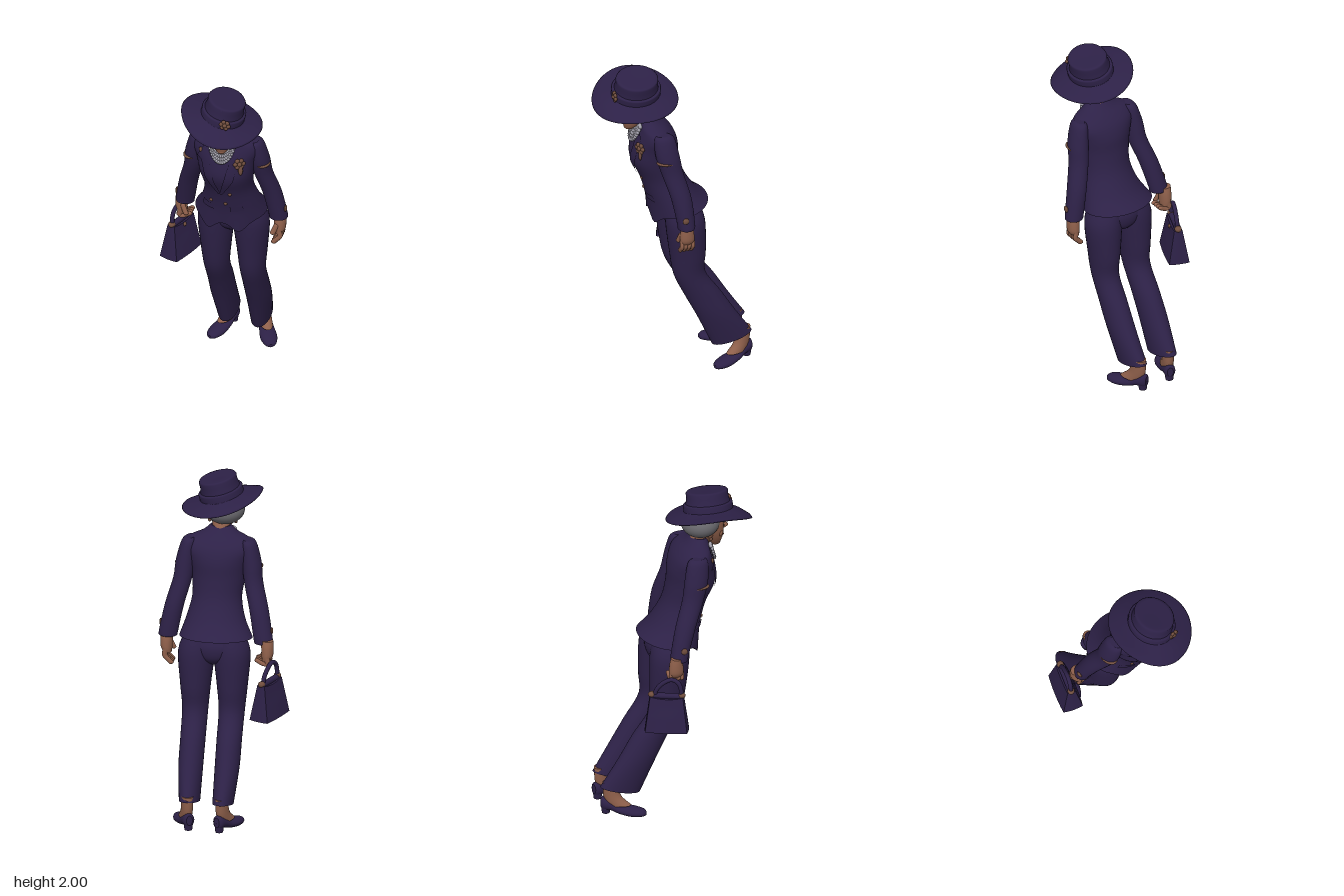
import * as THREE from 'three';

const mat = (name, color) => { const m = new THREE.MeshStandardMaterial({ color }); m.name = name; return m; };
const M = {
  purple: mat('deep purple cloth', 0x2d2147), skin: mat('skin', 0x8f604b), hair: mat('grey hair', 0x6a696e),
  pearl: mat('pearl', 0xa09ea9), gold: mat('bronze trim', 0x704e3e), dark: mat('dark eye', 0x2a1d1c), lip: mat('lip', 0x70443a),
};

const add = (parent, name, geo, m, pos = [0, 0, 0], scale = [1, 1, 1]) => {
  const mesh = new THREE.Mesh(geo, m);
  mesh.name = name;
  mesh.position.set(...pos);
  mesh.scale.set(...scale);
  parent.add(mesh);
  return mesh;
};
const ball = (parent, name, m, pos, size, seg = 16) => add(parent, name, new THREE.SphereGeometry(1, seg, Math.ceil(seg * 0.7)), m, pos, size);

// Smoothly fills in between sections [cx, y, cz, rx, rz, slope], listed from the top down
function dense(secs, sub = 5) {
  const out = [], n = secs.length - 1;
  const cr = (a, b, c, d, t) => b + 0.5 * t * (c - a + t * (2 * a - 5 * b + 4 * c - d + t * (3 * (b - c) + d - a)));
  for (let i = 0; i < n; i++) for (let k = 0; k < sub; k++) {
    const [a, b, c, d] = [i - 1, i, i + 1, i + 2].map(j => secs[Math.min(n, Math.max(0, j))]);
    out.push([0, 1, 2, 3, 4, 5].map(q => cr(a[q] || 0, b[q] || 0, c[q] || 0, d[q] || 0, k / sub)));
  }
  out.push([0, 1, 2, 3, 4, 5].map(q => secs[n][q] || 0));
  return out;
}

// Skin of elliptical rings with capped ends
function loft(secs, seg = 32, warp) {
  const rows = dense(secs), p = [], idx = [];
  const ring = s => {
    for (let j = 0; j < seg; j++) {
      const a = j / seg * Math.PI * 2, dz = s[4] * Math.cos(a);
      const v = new THREE.Vector3(s[0] + s[3] * Math.sin(a), s[1] + s[5] * dz, s[2] + dz);
      if (warp) warp(v);
      p.push(v.x, v.y, v.z);
    }
  };
  rows.forEach(ring);
  for (let i = 0; i < rows.length - 1; i++) for (let j = 0; j < seg; j++) {
    const a = i * seg + j, b = i * seg + (j + 1) % seg;
    idx.push(a, a + seg, b + seg, a, b + seg, b);
  }
  for (const [s, top] of [[rows[0], true], [rows[rows.length - 1], false]]) {
    const base = p.length / 3;
    ring(s);
    p.push(s[0], s[1], s[2]);
    for (let j = 0; j < seg; j++) {
      const a = base + j, b = base + (j + 1) % seg;
      idx.push(base + seg, top ? a : b, top ? b : a);
    }
  }
  const g = new THREE.BufferGeometry();
  g.setAttribute('position', new THREE.Float32BufferAttribute(p, 3));
  g.setIndex(idx);
  g.computeVertexNormals();
  return g;
}

// Depth of the front of a loft at x, y
function frontZ(secs, x, y) {
  const rows = dense(secs);
  let i = rows.findIndex(r => r[1] <= y);
  if (i < 1) i = i < 0 ? rows.length - 1 : 1;
  const t = (y - rows[i - 1][1]) / (rows[i][1] - rows[i - 1][1]);
  const s = rows[i].map((v, q) => rows[i - 1][q] + (v - rows[i - 1][q]) * t);
  return s[2] + s[4] * Math.sqrt(Math.max(0, 1 - ((x - s[0]) / s[3]) ** 2));
}

// Thin plate lying on the front of a loft; rows [y, x0, x1] from the top down
function plate(secs, rows, off = 0.006, sub = 4) {
  const p = [], idx = [], w = sub + 1, n = (rows.length - 1) * sub;
  for (let i = 0; i <= n; i++) {
    const k = Math.min(rows.length - 2, Math.floor(i / sub)), t = i / sub - k;
    const [y, a, b] = rows[k].map((v, q) => v + (rows[k + 1][q] - v) * t);
    for (let j = 0; j <= sub; j++) {
      const x = a + (b - a) * j / sub;
      p.push(x, y, frontZ(secs, x, y) + off);
    }
  }
  for (let i = 0; i < n; i++) for (let j = 0; j < sub; j++) {
    const a = i * w + j;
    idx.push(a, a + w, a + w + 1, a, a + w + 1, a + 1);
  }
  const g = new THREE.BufferGeometry();
  g.setAttribute('position', new THREE.Float32BufferAttribute(p, 3));
  g.setIndex(idx);
  g.computeVertexNormals();
  return g;
}

const JACKET = [[.05, 1.705, .165, .06, .045], [.05, 1.67, .147, .105, .068], [.052, 1.637, .127, .18, .09], [.052, 1.59, .115, .2, .115],
  [.052, 1.52, .112, .178, .135], [.052, 1.42, .11, .16, .142], [.057, 1.3, .07, .145, .13], [.058, 1.18, .018, .172, .147], [.048, 1.085, -.032, .214, .176, -.12]];
const HEAD = [[.045, 1.87, .19, .07, .09], [.045, 1.82, .2, .083, .105], [.045, 1.76, .215, .08, .095],
  [.05, 1.71, .235, .068, .075], [.055, 1.665, .25, .048, .05], [.058, 1.635, .265, .024, .024]];

function flower(parent, name, pos, r) {
  const f = new THREE.Group();
  f.name = name;
  f.position.set(...pos);
  for (let i = 0; i < 6; i++) {
    const a = i / 6 * Math.PI * 2;
    ball(f, 'petal', M.gold, [Math.cos(a) * r, Math.sin(a) * r, 0], [r * .6, r * .6, .01], 8);
  }
  ball(f, 'flowerCentre', M.gold, [0, 0, .006], [r * .6, r * .6, .012], 8);
  parent.add(f);
  return f;
}

function buildHand(parent, name, s, pos, curl) {
  const h = new THREE.Group();
  h.name = name;
  h.position.set(...pos);
  h.scale.x = 1.35;
  add(h, 'palm', loft([[0, .05, 0, .026, .03], [0, .01, 0, .027, .04], [0, -.04, 0, .025, .044], [-s * .005, -.07, 0, .018, .038]], 16), M.skin);
  for (let i = 0; i < 4; i++) {
    const z = .033 - i * .022;
    const c = new THREE.CatmullRomCurve3([[0, -.045], [s * .004, -.085], [-s * .012, -.11 + curl * .02], [-s * (.022 + curl * .015), -.125 + curl * .05]]
      .map(([x, y]) => new THREE.Vector3(x, y, z)));
    add(h, 'finger', new THREE.TubeGeometry(c, 8, .0125, 8), M.skin);
    ball(h, 'fingertip', M.skin, c.getPoint(1).toArray(), [.0125, .0125, .0125], 8);
  }
  const thumb = add(h, 'thumb', new THREE.CapsuleGeometry(.012, .05, 4, 8), M.skin, [-s * .018, -.035, .04]);
  thumb.rotation.set(-.2, 0, -s * .3);
  parent.add(h);
}

export function createModel() {
  const root = new THREE.Group();
  root.name = 'ladyInSuit';

  // Jacket with pointed front hem, lapels, pocket flaps, buttons
  add(root, 'jacket', loft(JACKET, 64, v => {
    if (v.y < 1.13 && v.z > .03) v.y -= .055 * Math.exp(-(((Math.abs(v.x - .035) - .095) / .05) ** 2)) * (1.13 - v.y) / .06;
  }), M.purple);
  for (const s of [-1, 1]) {
    const row = ([y, a, b]) => s > 0 ? [y, .035 + a, .035 + b] : [y, .035 - b, .035 - a];
    add(root, 'lapel', plate(JACKET, [[1.665, .045, .07], [1.6, .065, .115], [1.545, .06, .14], [1.53, .058, .11], [1.42, .03, .085], [1.3, -.005, .012]].map(row), .008), M.purple);
    add(root, 'pocketFlap', plate(JACKET, [[1.2, .05, .12], [1.16, .05, .13]].map(row), .007), M.purple);
  }
  for (const [x, y] of [[-.03, 1.22], [.09, 1.3], [.06, 1.22]]) ball(root, 'jacketButton', M.gold, [x, y, frontZ(JACKET, x, y)], [.011, .011, .008], 10);
  const bz = frontZ(JACKET, .155, 1.53) + .006;
  flower(root, 'brooch', [.155, 1.54, bz], .024).rotation.y = .5;
  ball(root, 'broochDrop', M.gold, [.162, 1.495, bz], [.014, .032, .01], 10);
  ball(root, 'lapelPin', M.gold, [-.08, 1.595, frontZ(JACKET, -.08, 1.595) + .006], [.012, .016, .008], 10);

  // Arms, cuffs, hands
  for (const s of [-1, 1]) {
    const X = d => .05 + s * d, z = s > 0 ? .0 : -.045;
    add(root, 'sleeve', loft([[X(.17), 1.645, .105, .025, .04], [X(.177), 1.618, .1, .044, .062], [X(.195), 1.51, .085, .056, .07], [X(.209), 1.4, .06, .055, .064],
      [X(.25), 1.25, .02 + z * .4, .056, .06], [X(.282), 1.09, z, .056, .052], [X(.284), 1.065, z, .054, .05]], 28), M.purple);
    ball(root, 'sleeveTrim', M.gold, [X(.215), 1.485, .097], [.044, .012, .061], 20);
    ball(root, 'cuffButton', M.gold, [X(.33), 1.135, z + .015], [.009, .02, .02], 10);
  }
  buildHand(root, 'leftHand', 1, [.343, 1.03, -.003], 0);
  buildHand(root, 'rightHand', -1, [-.262, 1.04, -.075], 1.2);

  // Trousers, feet and heeled shoes
  add(root, 'trouserSeat', loft([[.05, 1.11, -.035, .15, .1], [.05, 1.05, -.045, .17, .114], [.05, .99, -.047, .14, .108], [.052, .95, -.05, .07, .08], [.053, .925, -.05, .02, .04]], 40), M.purple);
  for (const s of [-1, 1]) {
    const X = d => .055 + s * d, o = s > 0 ? .018 : 0;
    add(root, 'trouserLeg', loft([[X(.08), 1.11, -.035, .085, .1], [X(.103), 1, -.047, .108, .117], [X(.108), .8, -.06, .09, .108], [X(.108), .65, -.078 + o * .4, .076, .094],
      [X(.108), .5, -.168 + o, .073, .107], [X(.108), .35, -.25 + o, .071, .116], [X(.1), .165, -.348 + o, .06, .12, -.24]], 32), M.purple);
    const foot = new THREE.Group();
    foot.name = s > 0 ? 'leftFoot' : 'rightFoot';
    foot.position.set(X(.093), 0, -.43 + o * .5);
    foot.rotation.y = s * .4;
    add(foot, 'ankle', loft([[0, .22, .02, .035, .042], [0, .13, .035, .034, .052], [0, .075, .075, .036, .07]], 20), M.skin);
    // rings run from toe to heel, then the shoe is laid flat
    const shoe = loft([[0, .235, -.024, .01, .01], [0, .215, -.028, .035, .021], [0, .155, -.034, .05, .029], [0, .08, -.048, .044, .028],
      [0, .03, -.072, .037, .034], [0, -.015, -.083, .033, .042], [0, -.032, -.085, .018, .03]], 24);
    add(foot, 'shoe', shoe.rotateX(Math.PI / 2), M.purple);
    add(foot, 'shoeHeel', new THREE.CylinderGeometry(.03, .023, .06, 16), M.purple, [0, .05, -.003]);
    root.add(foot);
  }

  // Neck, head and face
  add(root, 'neck', loft([[.05, 1.76, .195, .05, .055], [.05, 1.69, .165, .052, .056], [.05, 1.6, .14, .055, .05]], 24), M.skin);
  add(root, 'head', loft(HEAD, 40), M.skin);
  add(root, 'nose', loft([[.05, 1.8, .29, .009, .012], [.051, 1.77, .305, .012, .02], [.052, 1.748, .317, .018, .026], [.053, 1.733, .306, .012, .014]], 16), M.skin);
  ball(root, 'hair', M.hair, [.028, 1.805, .164], [.118, .088, .114], 32);
  for (const s of [-1, 1]) {
    const ex = .05 + s * .035, X = d => .047 + s * d;
    ball(root, 'eye', M.dark, [ex, 1.768, frontZ(HEAD, ex, 1.768)], [.013, .005, .004], 12);
    const brow = ball(root, 'eyebrow', M.hair, [ex, 1.786, frontZ(HEAD, ex, 1.786) + .002], [.02, .004, .005], 12);
    brow.rotation.z = s * .35;
    ball(root, 'cheek', M.skin, [ex + s * .008, 1.728, .275], [.025, .024, .02], 12);
    ball(root, 'ear', M.skin, [X(.076), 1.75, .205], [.014, .032, .022], 12);
    ball(root, 'earring', M.gold, [X(.077), 1.712, .21], [.011, .013, .011], 10);
  }
  ball(root, 'lips', M.lip, [.055, 1.695, frontZ(HEAD, .055, 1.695)], [.024, .006, .007], 12);
  ball(root, 'chin', M.skin, [.057, 1.65, .275], [.026, .02, .022], 12);

  // Pearl necklace in close strands
  const bead = new THREE.SphereGeometry(.0115, 8, 6);
  for (let k = 0; k < 5; k++) for (let i = 0; i <= 18; i++) {
    const t = -1.45 + i / 18 * 2.9, x = .048 + (.06 + k * .0035) * Math.sin(t), y = 1.678 - (.05 + k * .0195) * Math.cos(t);
    add(root, 'necklacePearl', bead, M.pearl, [x, y, frontZ(JACKET, x, y) + .012]);
  }

  // Tilted hat with drooping brim
  const hat = new THREE.Group();
  hat.name = 'hat';
  hat.position.set(.05, 1.846, .222);
  hat.rotation.z = -.24;
  const profile = [[0, .005], [.12, .005], [.19, 0], [.236, -.005], [.243, .002], [.236, .008], [.19, .012], [.14, .017], [.13, .022], [.13, .022], [.131, .055], [.127, .06],
    [.116, .063], [.116, .063], [.11, .1], [.112, .125], [.106, .134], [.09, .136], [0, .132]].map(q => new THREE.Vector2(...q));
  const hatGeo = new THREE.LatheGeometry(profile, 64), hp = hatGeo.attributes.position;
  for (let i = 0; i < hp.count; i++) {
    const x = hp.getX(i), z = hp.getZ(i), r = Math.hypot(x, z);
    if (r > .135) hp.setY(i, hp.getY(i) - (z > 0 ? .055 : .025) * (z / .24) ** 2 * (r - .135) / .105);
    hp.setZ(i, z * (r > .135 ? 1.04 : 1.12));
  }
  hatGeo.computeVertexNormals();
  add(hat, 'hatBody', hatGeo, M.purple);
  flower(hat, 'hatFlower', [.04, .05, .142], .022);
  root.add(hat);

  // Handbag with tapered, softly rounded body, arched handle and metal fittings
  const bag = new THREE.Group();
  bag.name = 'handbag';
  bag.position.set(-.285, .65, -.14);
  bag.rotation.y = -.39;
  const body = new THREE.BoxGeometry(.13, .215, .25, 4, 6, 6), bp = body.attributes.position;
  for (let i = 0; i < bp.count; i++) {
    const t = bp.getY(i) / .215 + .5, k = bp.getZ(i) / .125, u = bp.getX(i) / .065;
    bp.setX(i, bp.getX(i) * (1 - .6 * t) * (1.03 - .1 * k * k));
    bp.setZ(i, bp.getZ(i) * (1 - .22 * t) * (1.03 - .05 * u * u));
    bp.setY(i, bp.getY(i) - .012 * (1 - k * k) * (t > .5 ? 1 : 0) + .1075);
  }
  body.computeVertexNormals();
  add(bag, 'bagBody', body, M.purple);
  add(bag, 'bagClaspBar', new THREE.CapsuleGeometry(.018, .16, 4, 10).rotateX(Math.PI / 2), M.purple, [0, .215, 0]);
  const arch = new THREE.CatmullRomCurve3([[.2, -.072], [.25, -.062], [.3, -.02], [.322, .03], [.3, .068], [.25, .084], [.2, .08]].map(([y, z]) => new THREE.Vector3(0, y, z)));
  add(bag, 'bagHandle', new THREE.TubeGeometry(arch, 28, .013, 10), M.purple);
  for (const s of [-1, 1]) ball(bag, 'handleFitting', M.gold, [0, .222, s * .088], [.021, .018, .022], 12);
  ball(bag, 'bagClasp', M.gold, [.03, .19, 0], [.01, .012, .012], 10);
  root.add(bag);

  return root;
}
